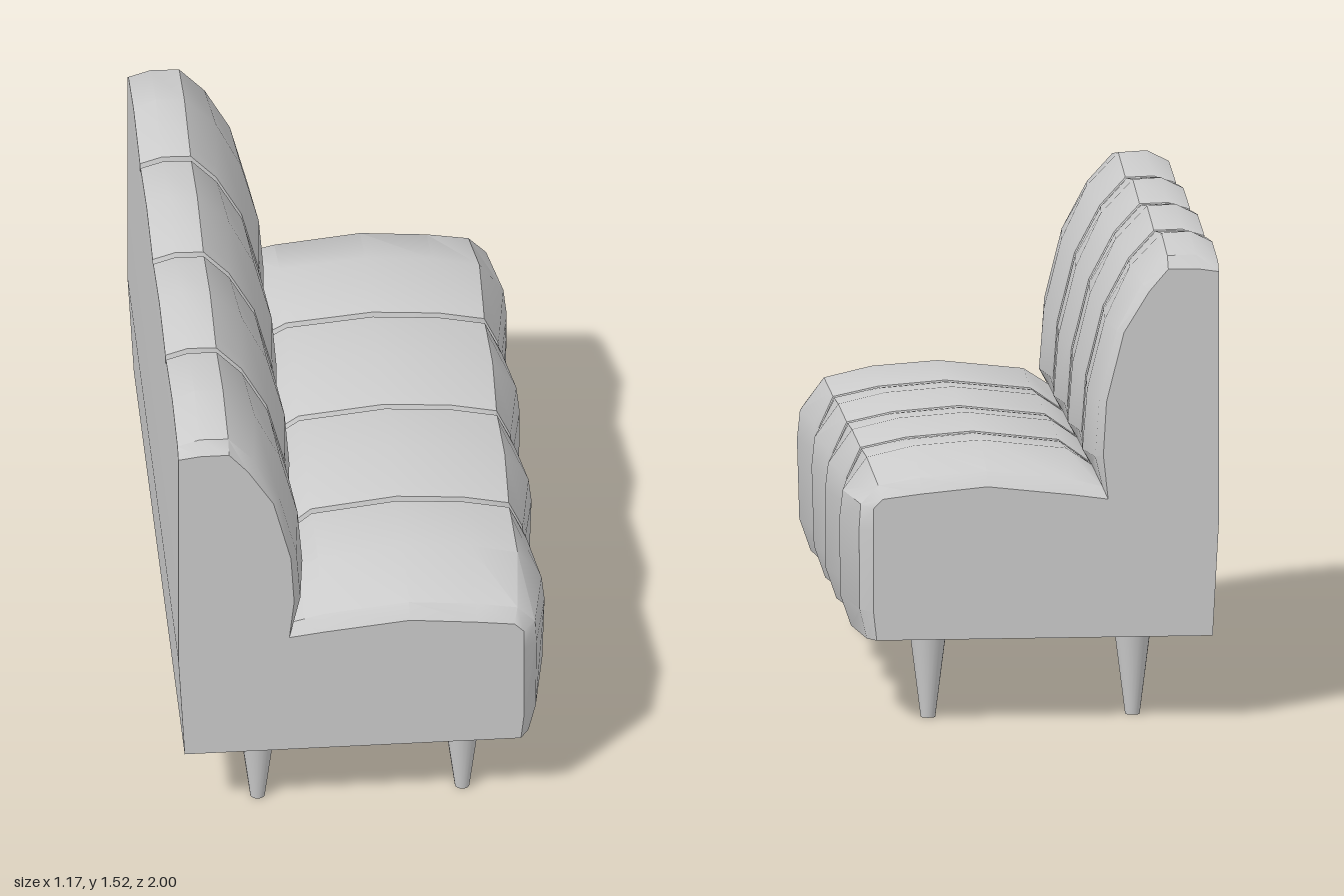
import * as THREE from 'three';
import { toCreasedNormals } from 'three/addons/utils/BufferGeometryUtils.js';

// Side profile, clockwise from back bottom:
// [edge x, edge y, crown x, crown y, z of the side seam, is seat]
const PROFILE = [
  [-0.57, 0.27, -0.57, 0.27, 0.5, 0],
  [-0.59, 0.64, -0.59, 0.64, 0.5, 0],
  [-0.59, 1.43, -0.59, 1.485, 0.5, 0],
  [-0.52, 1.44, -0.52, 1.52, 0.5, 0],
  [-0.43, 1.44, -0.43, 1.515, 0.5, 0],
  [-0.37, 1.37, -0.33, 1.41, 0.5, 0],
  [-0.29, 1.24, -0.25, 1.24, 0.5, 0],
  [-0.235, 1.02, -0.195, 1.02, 0.5, 0],
  [-0.225, 0.85, -0.18, 0.83, 0.5, 0],
  [-0.24, 0.71, -0.21, 0.78, 0.5, 0],
  [-0.13, 0.725, -0.13, 0.835, 0.485, 1],
  [0.14, 0.755, 0.14, 0.865, 0.48, 1],
  [0.35, 0.735, 0.35, 0.85, 0.48, 1],
  [0.47, 0.72, 0.5, 0.815, 0.48, 1],
  [0.5, 0.69, 0.575, 0.71, 0.48, 0],
  [0.5, 0.62, 0.585, 0.62, 0.465, 0],
  [0.5, 0.36, 0.58, 0.37, 0.41, 0],
  [0.49, 0.27, 0.545, 0.27, 0.39, 0],
];

// Stations across half the width: [z, fullness of back and front, fullness of seat]
const HALF = [
  [0, 0.1, 0.55], [0.012, 0.5, 0.8], [0.06, 0.62, 0.85], [0.25, 1, 1],
  [0.44, 0.62, 0.85], [0.488, 0.5, 0.8], [0.496, 0.1, 0.55],
  [0.504, 0.1, 0.55], [0.512, 0.5, 0.8], [0.56, 0.62, 0.85],
  [0.76, 1, 0.98], [0.965, 0.5, 0.4], [1, 0, 0],
];

function station([z, full, seatFull], sign) {
  return PROFILE.map(([ex, ey, cx, cy, seam, seat]) => {
    const w = seat ? seatFull : full;
    // the side seams drift towards the middle at the front
    const warped = z < 0.5 ? z * seam / 0.5 : seam + (z - 0.5) * (1 - seam) / 0.5;
    return new THREE.Vector3(ex + (cx - ex) * w, ey + (cy - ey) * w, sign * warped);
  });
}

function upholstery() {
  const rows = [
    ...HALF.slice(1).reverse().map((s) => station(s, -1)),
    ...HALF.map((s) => station(s, 1)),
  ];
  const pos = [];
  const tri = (a, b, c) => pos.push(...a, ...b, ...c);
  const n = PROFILE.length;
  for (let r = 0; r < rows.length - 1; r++) {
    for (let i = 0; i < n; i++) {
      const j = (i + 1) % n;
      const a = rows[r][i], b = rows[r][j], c = rows[r + 1][j], d = rows[r + 1][i];
      tri(a, d, c);
      tri(a, c, b);
    }
  }
  // flat ends
  const contour = rows[0].map((p) => new THREE.Vector2(p.x, p.y));
  const last = rows[rows.length - 1];
  for (const f of THREE.ShapeUtils.triangulateShape(contour, [])) {
    const [p, q, s] = f.map((k) => contour[k]);
    const ccw = (q.x - p.x) * (s.y - p.y) - (q.y - p.y) * (s.x - p.x) > 0;
    const [a, b, c] = ccw ? f : [f[0], f[2], f[1]];
    tri(last[a], last[b], last[c]);
    tri(rows[0][a], rows[0][c], rows[0][b]);
  }
  const geo = new THREE.BufferGeometry();
  geo.setAttribute('position', new THREE.Float32BufferAttribute(pos, 3));
  return toCreasedNormals(geo, 0.6);
}

export function createModel() {
  const group = new THREE.Group();
  const material = new THREE.MeshStandardMaterial({ color: 0xcccccc });

  // Channelled back and seat
  const body = new THREE.Mesh(upholstery(), material);
  body.name = 'upholsteredBody';
  group.add(body);

  // Tapered legs
  const legGeo = new THREE.CylinderGeometry(0.058, 0.023, 0.275, 20);
  for (const x of [-0.33, 0.315]) {
    for (const z of [-0.85, 0.87]) {
      const leg = new THREE.Mesh(legGeo, material);
      leg.name = (x > 0 ? 'front' : 'back') + 'Leg';
      leg.position.set(x, 0.1375, z);
      group.add(leg);
    }
  }
  return group;
}
